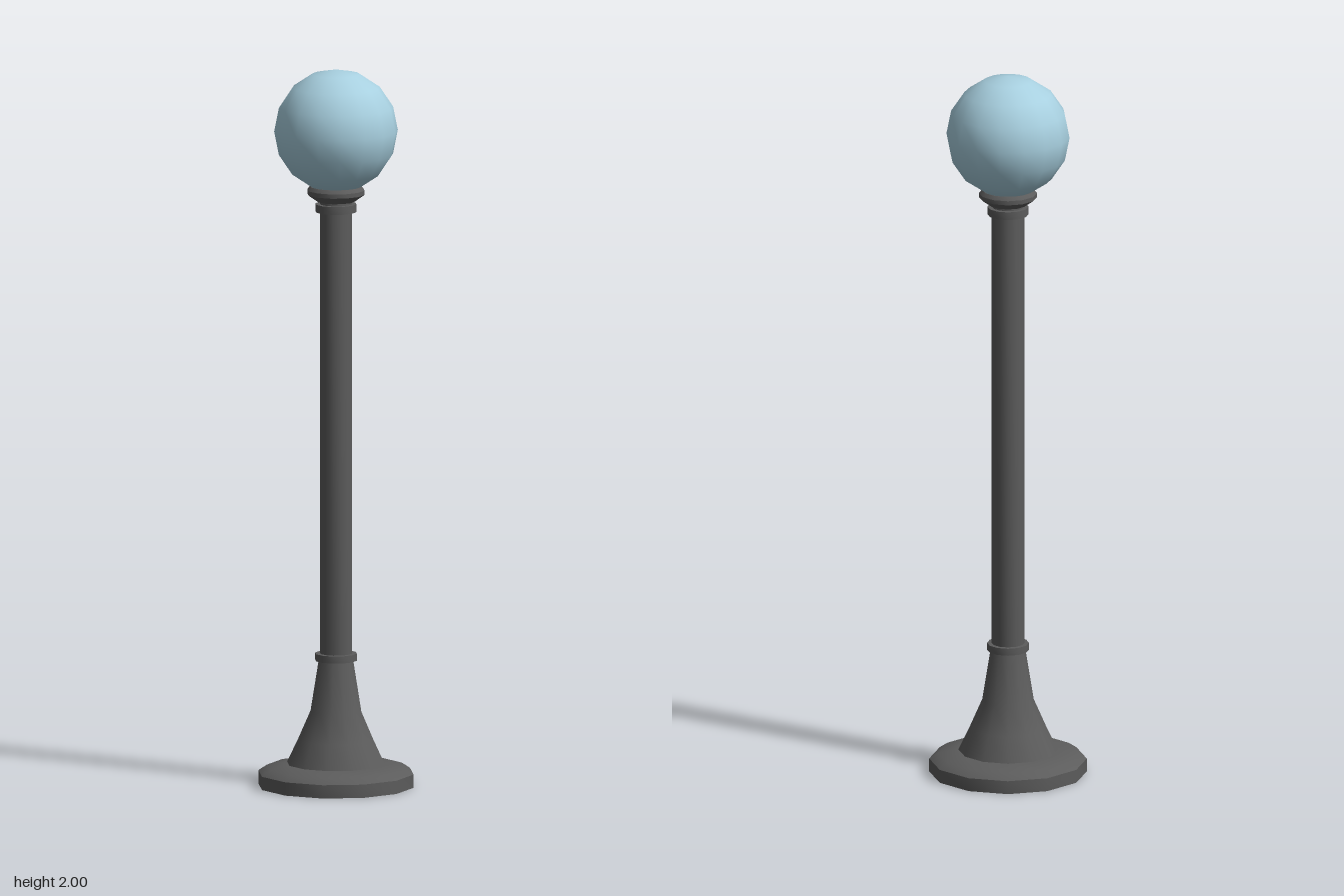
import * as THREE from 'three';
import { toCreasedNormals } from 'three/addons/utils/BufferGeometryUtils.js';

const SIDES = 12;
const metal = new THREE.MeshStandardMaterial({ color: 0x5c5c5c });
const glass = new THREE.MeshStandardMaterial({ color: 0xa8d0e0 });

// Turned part from [radius, height] points, listed from bottom to top
function turned(name, profile) {
  const points = profile.map(([r, y]) => new THREE.Vector2(r, y));
  const geometry = toCreasedNormals(new THREE.LatheGeometry(points, SIDES), 0.6);
  const mesh = new THREE.Mesh(geometry, metal);
  mesh.name = name;
  return mesh;
}

// Short closed ring around the pole
const collar = (name, r, y0, y1) => turned(name, [[0, y0], [r, y0], [r, y1], [0, y1]]);

export function createModel() {
  const group = new THREE.Group();
  group.name = 'streetLamp';

  // Stepped foot and flared pedestal
  group.add(turned('foot', [[0, 0], [0.217, 0], [0.217, 0.037], [0.193, 0.053], [0.14, 0.063], [0, 0.063]]));
  group.add(turned('pedestal', [[0.138, 0.06], [0.105, 0.13], [0.071, 0.208], [0.048, 0.352]]));

  // Pole with a collar at each end
  group.add(collar('lowerCollar', 0.058, 0.35, 0.37));
  group.add(turned('pole', [[0.045, 0.36], [0.045, 1.645]]));
  group.add(collar('upperCollar', 0.057, 1.603, 1.625));

  // Cup that holds the globe
  group.add(turned('globeCup', [[0, 1.632], [0.052, 1.632], [0.08, 1.652], [0.08, 1.664], [0.072, 1.674], [0, 1.674]]));

  // Globe
  const globe = new THREE.Mesh(new THREE.SphereGeometry(0.171, 16, 8), glass);
  globe.name = 'globe';
  globe.position.y = 1.829;
  group.add(globe);

  return group;
}
